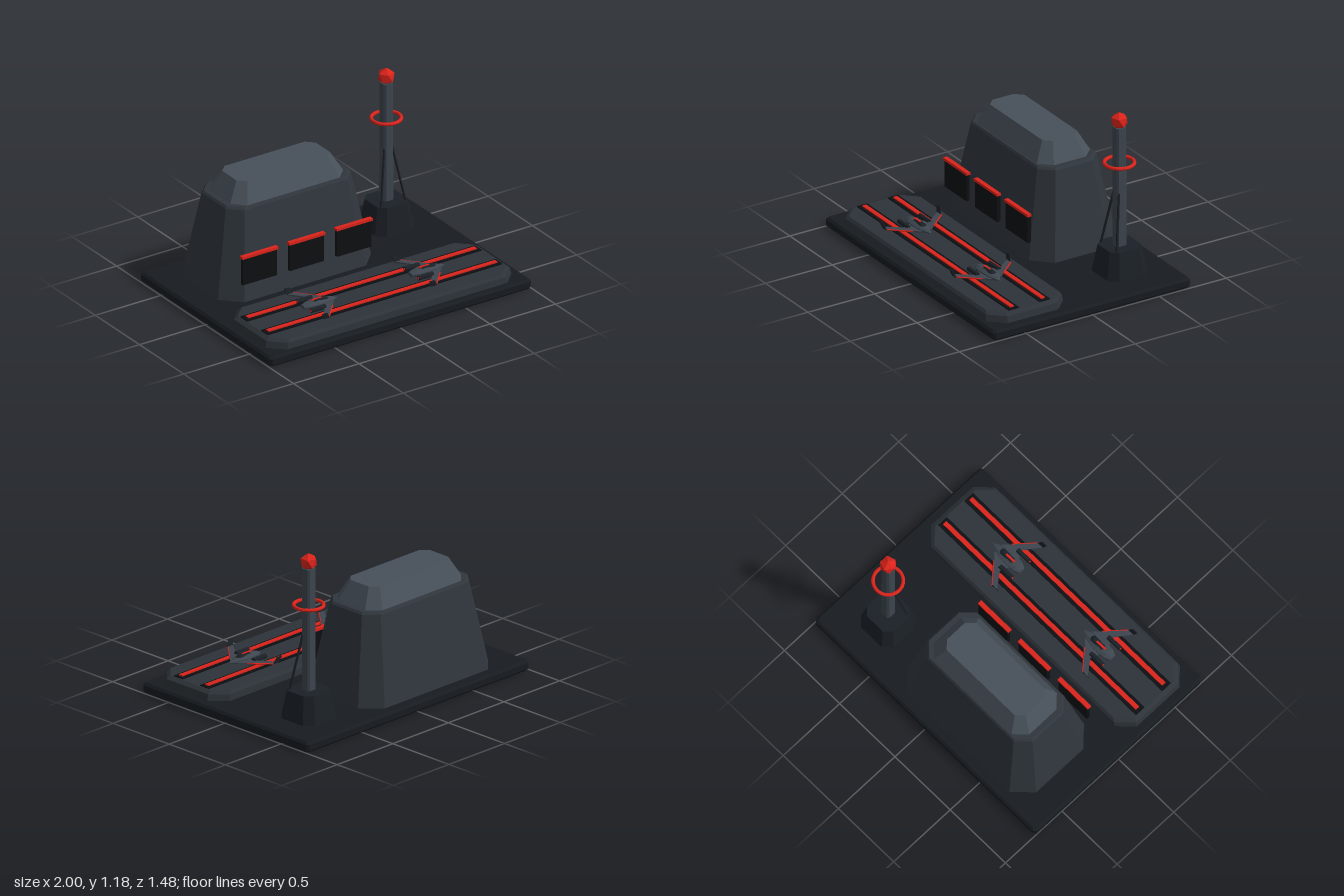
import * as THREE from 'three';

const mat = (color) => new THREE.MeshStandardMaterial({ color, flatShading: true, side: THREE.DoubleSide });
const M = {
  base: mat(0x171c21), apron: mat(0x2c3238), wall: mat(0x30363d), roof: mat(0x475059),
  steel: mat(0x3d454e), dark: mat(0x1b2026), black: mat(0x0d0f12), red: mat(0xdb231b),
};

function add(parent, name, geometry, material, x = 0, y = 0, z = 0) {
  const mesh = new THREE.Mesh(geometry, material);
  mesh.name = name;
  mesh.position.set(x, y, z);
  parent.add(mesh);
  return mesh;
}

// Stacked rectangles with cut corners; each section is [y, halfX, halfZ, cornerCut]
function cutBlock(sections) {
  const pos = [], idx = [], n = 8, last = (sections.length - 1) * n;
  for (const [y, a, b, c] of sections) {
    const ring = [[a, b - c], [a - c, b], [c - a, b], [-a, b - c], [-a, c - b], [c - a, -b], [a - c, -b], [a, c - b]];
    for (const [x, z] of ring) pos.push(x, y, z);
  }
  for (let s = 0; s < last; s += n) {
    for (let i = 0; i < n; i++) {
      const j = (i + 1) % n;
      idx.push(s + i, s + n + i, s + n + j, s + i, s + n + j, s + j);
    }
  }
  for (let i = 1; i < n - 1; i++) idx.push(0, i, i + 1, last, last + i + 1, last + i);
  const g = new THREE.BufferGeometry();
  g.setAttribute('position', new THREE.Float32BufferAttribute(pos, 3));
  g.setIndex(idx);
  const flat = g.toNonIndexed();
  flat.computeVertexNormals();
  return flat;
}

// Round bar between two points
function bar(parent, name, from, to, r, material, sides = 6) {
  const a = new THREE.Vector3(...from), b = new THREE.Vector3(...to);
  const mesh = add(parent, name, new THREE.CylinderGeometry(r, r, a.distanceTo(b), sides), material);
  mesh.position.copy(a).add(b).multiplyScalar(0.5);
  mesh.quaternion.setFromUnitVectors(new THREE.Vector3(0, 1, 0), b.sub(a).normalize());
}

// Thin plate lying flat, outlined by [x, z] points
function plate(points, thick) {
  const shape = new THREE.Shape(points.map(([x, z]) => new THREE.Vector2(x, z)));
  return new THREE.ExtrudeGeometry(shape, { depth: thick, bevelEnabled: false }).rotateX(Math.PI / 2);
}

function makeAircraft() {
  const craft = new THREE.Group();
  craft.name = 'aircraft';

  // Eight-sided hull with the nose toward +x
  const profile = [[0, -0.13], [0.024, -0.13], [0.043, -0.09], [0.049, -0.02], [0.041, 0.05], [0.02, 0.1], [0, 0.135]]
    .map(([r, y]) => new THREE.Vector2(r, y));
  const hull = new THREE.LatheGeometry(profile, 8).rotateY(Math.PI / 8).rotateZ(-Math.PI / 2).scale(1, 0.55, 1);
  add(craft, 'hull', hull, M.steel);
  add(craft, 'canopy', cutBlock([[0, 0.06, 0.022, 0.012], [0.012, 0.04, 0.012, 0.008]]), M.dark, 0, 0.02, 0);
  add(craft, 'canopyStripe', new THREE.BoxGeometry(0.075, 0.006, 0.014), M.red, -0.025, 0.031, 0);

  for (const s of [1, -1]) {
    const outline = [[0.09, 0.03], [0.045, 0.075], [-0.065, 0.202], [-0.11, 0.202], [-0.03, 0.1], [-0.06, 0.03]];
    add(craft, 'wing', plate(outline.map(([x, z]) => [x, z * s]), 0.009), M.steel, 0, 0.002, 0);
    bar(craft, 'wingLeadingEdge', [0.045, -0.002, 0.078 * s], [-0.065, -0.002, 0.203 * s], 0.005, M.red);

    // Tip fin leaning outward
    const finShape = plate([[-0.13, 0.045], [-0.09, 0.045], [-0.065, 0], [-0.11, 0]], 0.006).rotateX(-Math.PI / 2);
    const fin = add(craft, 'wingTipFin', finShape, M.dark, 0, -0.004, 0.204 * s);
    fin.rotation.x = 0.25 * s;

    const engine = new THREE.CylinderGeometry(0.016, 0.016, 0.11, 8).rotateZ(Math.PI / 2);
    add(craft, 'engine', engine, M.dark, -0.065, 0.004, 0.078 * s);
    add(craft, 'engineGlow', new THREE.CylinderGeometry(0.008, 0.008, 0.006, 8).rotateZ(Math.PI / 2), M.red, -0.121, 0.004, 0.078 * s);
  }
  return craft;
}

export function createModel() {
  const model = new THREE.Group();
  model.name = 'airbase';

  // Ground slab and raised runway apron
  add(model, 'groundSlab', cutBlock([[0, 0.985, 0.725, 0.015], [0.015, 1, 0.74, 0.018], [0.055, 1, 0.74, 0.018], [0.07, 0.985, 0.725, 0.015]]), M.base);
  add(model, 'runwayApron', cutBlock([[0.065, 0.94, 0.29, 0.1], [0.112, 0.928, 0.284, 0.1], [0.13, 0.9, 0.268, 0.09]]), M.apron, -0.003, 0, 0.408);
  for (const z of [0.29, 0.522]) {
    add(model, 'runwayStrip', new THREE.BoxGeometry(1.79, 0.012, 0.076), M.black, -0.005, 0.131, z);
    add(model, 'runwayLight', new THREE.BoxGeometry(1.745, 0.014, 0.03), M.red, -0.003, 0.138, z);
  }

  // Hangar building
  const hangar = new THREE.Group();
  hangar.name = 'hangar';
  hangar.position.set(-0.23, 0, -0.337);
  add(hangar, 'hangarWalls', cutBlock([[0.065, 0.585, 0.33, 0.12], [0.655, 0.477, 0.222, 0.085], [0.67, 0.465, 0.212, 0.08]]), M.wall);
  add(hangar, 'hangarRoof', cutBlock([[0.665, 0.434, 0.202, 0.08], [0.8, 0.357, 0.13, 0.05]]), M.roof);
  model.add(hangar);
  for (const x of [-0.592, -0.232, 0.128]) {
    add(model, 'hangarDoor', new THREE.BoxGeometry(0.26, 0.185, 0.024), M.black, x, 0.3, 0.005);
    add(model, 'doorLight', new THREE.BoxGeometry(0.275, 0.018, 0.03), M.red, x, 0.4, 0.008);
  }

  // Beacon tower
  const tower = new THREE.Group();
  tower.name = 'beaconTower';
  tower.position.set(0.663, 0, -0.413);
  add(tower, 'towerFoot', cutBlock([[0.065, 0.15, 0.15, 0.055], [0.255, 0.117, 0.117, 0.045]]), M.dark);
  add(tower, 'towerMast', cutBlock([[0.25, 0.037, 0.037, 0.012], [1.08, 0.036, 0.036, 0.012]]), M.steel);
  add(tower, 'towerRing', new THREE.TorusGeometry(0.096, 0.012, 8, 32).rotateX(Math.PI / 2), M.red, 0, 0.827, 0);
  add(tower, 'beacon', new THREE.IcosahedronGeometry(0.059, 0).rotateZ(Math.atan2(2, 1 + Math.sqrt(5))), M.red, 0, 1.121, 0);
  for (const s of [1, -1]) bar(tower, 'towerStrut', [0.03 * s, 0.625, 0.022], [0.095 * s, 0.24, 0.08], 0.008, M.dark);
  model.add(tower);

  // Parked aircraft
  for (const x of [-0.4, 0.42]) {
    const craft = makeAircraft();
    craft.position.set(x, 0.163, 0.408);
    model.add(craft);
  }
  return model;
}
